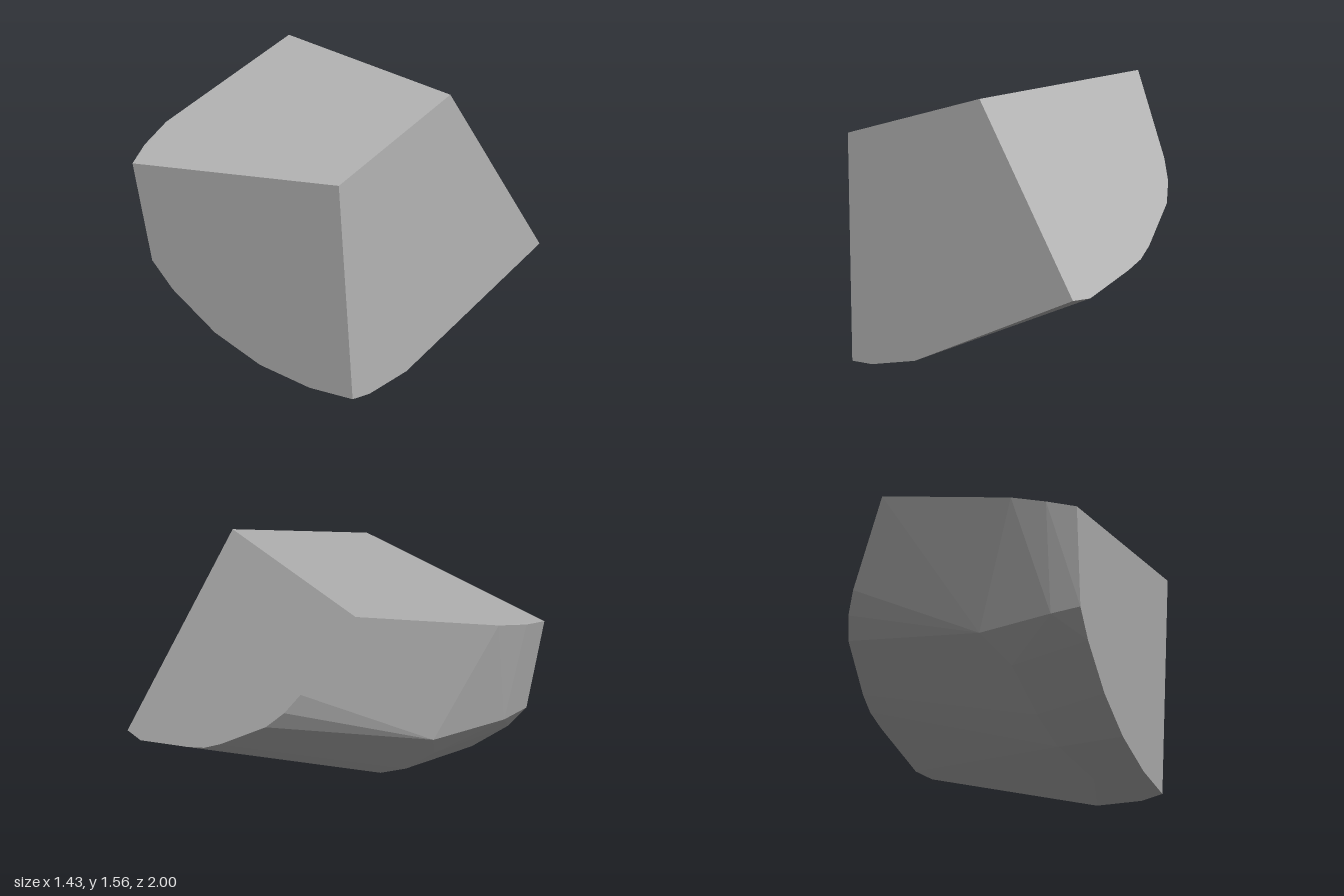
import * as THREE from 'three';
import { ConvexGeometry } from 'three/addons/geometries/ConvexGeometry.js';

// Flat cut faces of the chunk: depth z as a function of x and y
const frontPlane = (x, y) => 1 - 0.3137 * (x + 0.59) + 0.0452 * (y - 1.16);
const backPlane = (x, y) => -0.31 - 0.0115 * (x - 0.59) + 0.651 * (y - 1.56);
// Flat side face: x as a function of y and z
const sidePlane = (y, z) => 0.59 - 0.0344 * (y - 1.56) + 0.0818 * (z + 0.31);

export function createModel() {
  const group = new THREE.Group();
  group.name = 'stoneChunk';
  const stone = new THREE.MeshStandardMaterial({ color: 0xb4b4b4 });
  stone.name = 'grey stone';

  // Outline of the front face: two upper corners, then the curved lower edge
  const front = [
    [-0.59, 1.16], [0.675, 1.275], [0.713, 0.005], [0.45, 0.022], [0.15, 0.1],
    [-0.12, 0.24], [-0.37, 0.45], [-0.49, 0.6],
  ].map(([x, y]) => new THREE.Vector3(x, y, frontPlane(x, y)));

  // Outline of the sloping back face
  const back = [
    [0.59, 1.56], [-0.717, 1.56], [-0.615, 1.11], [-0.565, 0.995], [-0.48, 0.89],
    [-0.2, 0.7], [-0.09, 0.642], [0.04, 0.6], [0.43, 0.497], [0.57, 0.5],
  ].map(([x, y]) => new THREE.Vector3(x, y, backPlane(x, y)));

  // Lower edge of the flat side face
  const side = [[0.05, 0.1], [0, 0.4]]
    .map(([y, z]) => new THREE.Vector3(sidePlane(y, z), y, z));

  // Rounded shoulder between the front edge and the sloping underside
  const shoulder = [
    [-0.665, 1.21, 0.84], [-0.717, 1.278, 0.63], [-0.54, 0.59, 0.77],
    [-0.58, 0.6, 0.29], [-0.42, 0.43, 0.39], [-0.16, 0.23, 0.36],
    [0.06, 0.12, 0.33], [0.37, 0.03, 0.33],
  ].map((p) => new THREE.Vector3(...p));

  const chunk = new THREE.Mesh(
    new ConvexGeometry([...front, ...back, ...side, ...shoulder]), stone);
  chunk.name = 'chunk';
  group.add(chunk);
  return group;
}
